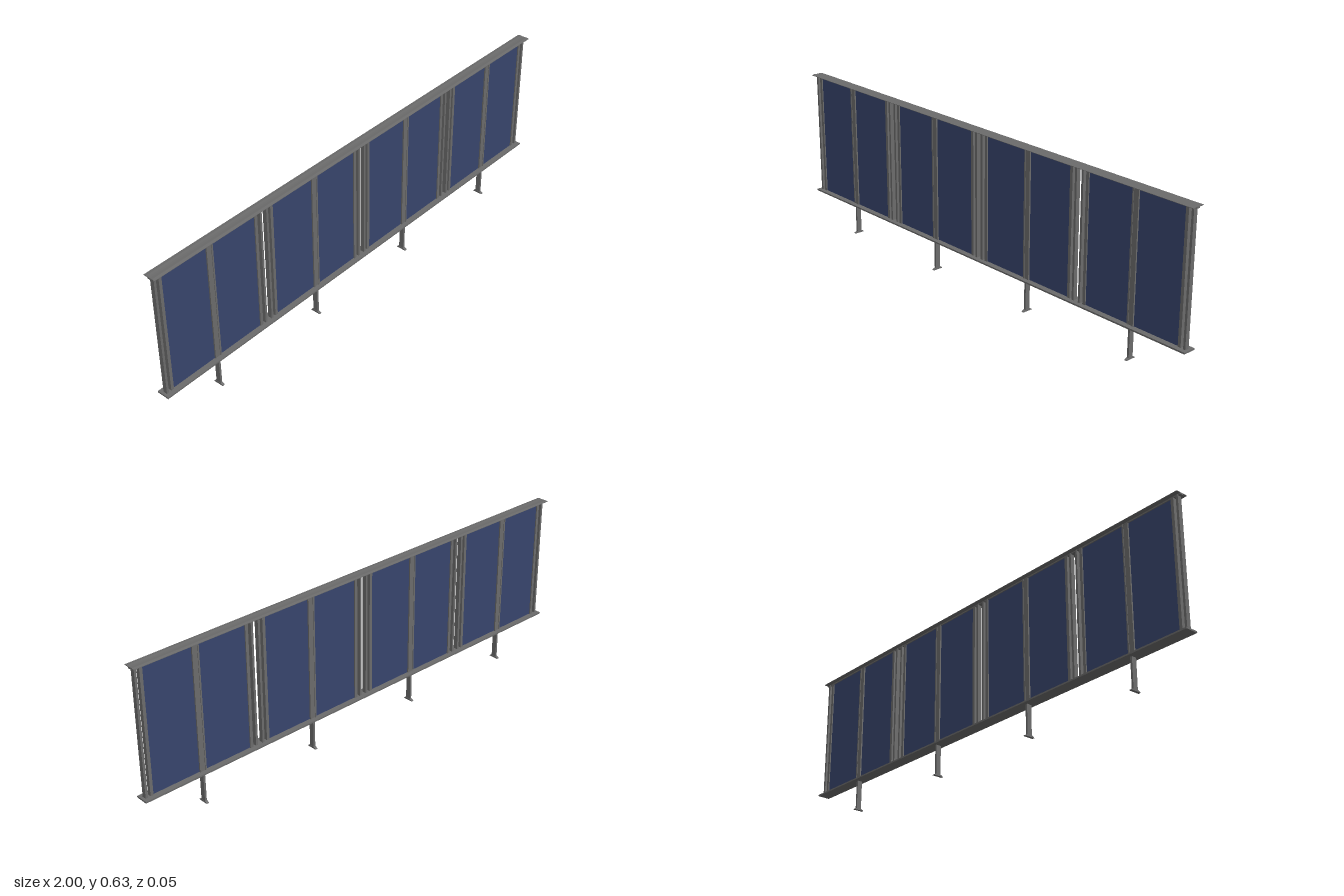
import * as THREE from 'three';

export function createModel() {
  const model = new THREE.Group();
  const metal = new THREE.MeshStandardMaterial({ color: 0x6b6b6b });
  metal.name = 'grey metal';
  const glass = new THREE.MeshStandardMaterial({ color: 0x38456c });
  glass.name = 'blue panel';

  const box = (parent, name, mat, w, h, d, x, y, z = 0) => {
    const mesh = new THREE.Mesh(new THREE.BoxGeometry(w, h, d), mat);
    mesh.name = name;
    mesh.position.set(x, y, z);
    parent.add(mesh);
  };

  // Extrude a (z, y) profile along x, centred on x
  const bar = (parent, name, points, length, x) => {
    const shape = new THREE.Shape(points.map(([z, y]) => new THREE.Vector2(z, y)));
    const geo = new THREE.ExtrudeGeometry(shape, { depth: length, bevelEnabled: false });
    geo.translate(0, 0, -length / 2).rotateY(Math.PI / 2);
    const mesh = new THREE.Mesh(geo, metal);
    mesh.name = name;
    mesh.position.x = x;
    parent.add(mesh);
  };

  // Top rail: thin handrail with gently drooping edges and a shallow centre groove
  const half = [[0.025, 0.624], [0.025, 0.6255], [0.014, 0.627], [0.004, 0.6262]];
  const mirrored = half.map(([z, y]) => [-z, y]).reverse();
  bar(model, 'topRail', [...half, ...mirrored], 2, 0);
  box(model, 'topRailChannel', metal, 2, 0.005, 0.014, 0, 0.622);

  // Bottom rail
  box(model, 'bottomRail', metal, 2, 0.006, 0.05, 0, 0.125);

  const low = 0.127, high = 0.6245;
  const h = high - low, mid = (high + low) / 2;

  for (const cx of [-0.75, -0.25, 0.25, 0.75]) {
    const bay = new THREE.Group();
    bay.name = 'bay';
    bay.position.x = cx;
    model.add(bay);

    // Infill panel
    box(bay, 'panel', glass, 0.425, h, 0.006, 0, mid);

    // Middle mullion: narrow web between two side bars
    box(bay, 'mullionWeb', metal, 0.02, h, 0.013, 0, mid);
    for (const s of [-1, 1]) {
      box(bay, 'mullionBar', metal, 0.006, h, 0.017, s * 0.011, mid);
      // Edge channel that holds the panel, and the free upright beside it
      box(bay, 'panelEdge', metal, 0.012, h, 0.015, s * 0.213, mid);
      box(bay, 'upright', metal, 0.009, h, 0.017, s * 0.235, mid);
    }

    // Flat leg and flared foot
    box(bay, 'leg', metal, 0.008, 0.122, 0.02, 0, 0.063);
    bar(bay, 'foot', [[-0.021, 0], [0.021, 0], [0.019, 0.003], [0.01, 0.007],
      [-0.01, 0.007], [-0.019, 0.003]], 0.01, 0);
  }
  return model;
}
